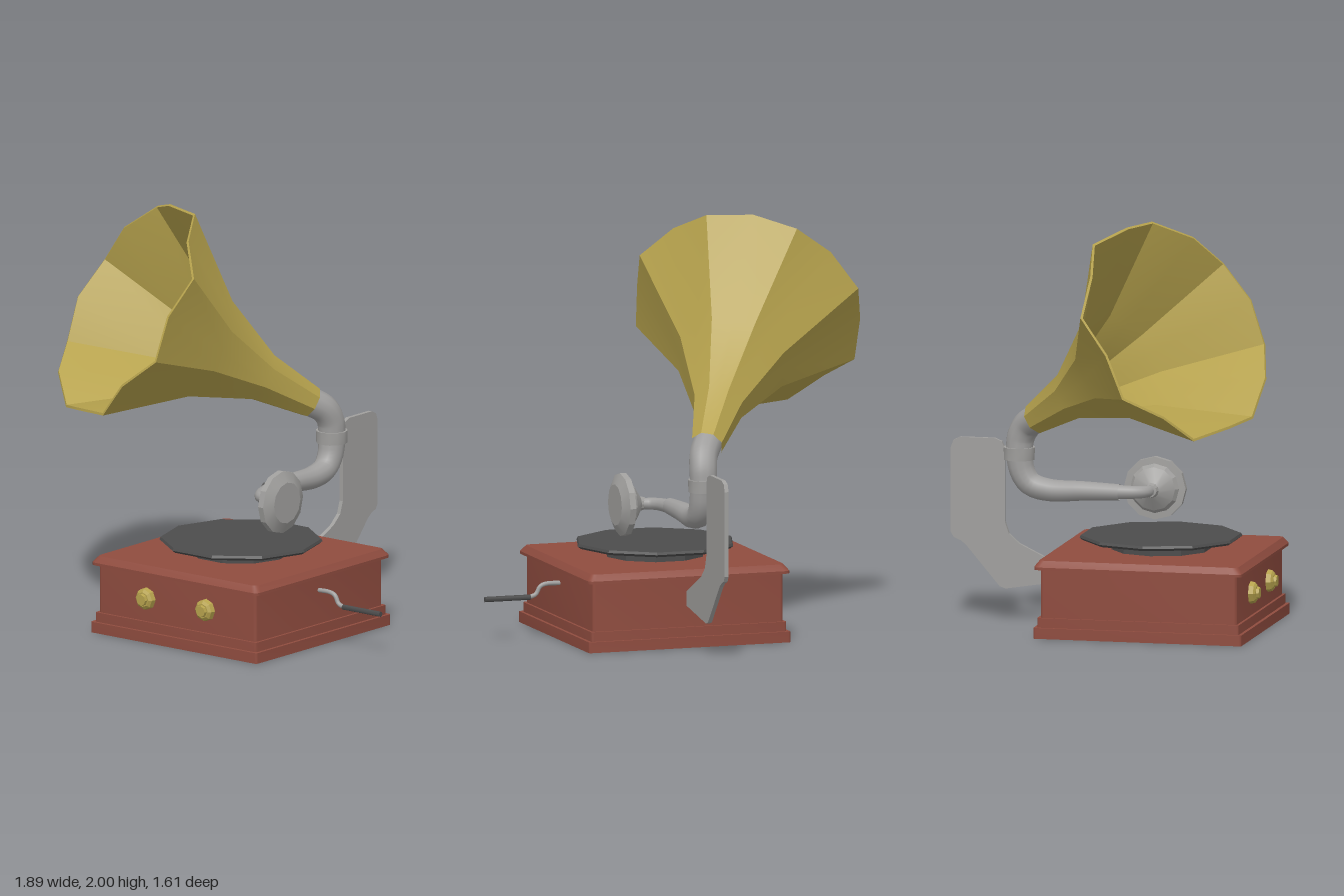
import * as THREE from 'three';
import { toCreasedNormals, mergeVertices } from 'three/addons/utils/BufferGeometryUtils.js';

const V = (x, y, z) => new THREE.Vector3(x, y, z);

function material(name, color, side = THREE.FrontSide) {
  const m = new THREE.MeshStandardMaterial({ color, side });
  m.name = name;
  return m;
}

// Rounded square slab standing on y0; the top can be drawn in by a scale
function slab(half, y0, y1, radius, topScale = 1) {
  const s = new THREE.Shape(), h = half, r = radius;
  s.moveTo(-h + r, -h);
  s.lineTo(h - r, -h); s.quadraticCurveTo(h, -h, h, -h + r);
  s.lineTo(h, h - r); s.quadraticCurveTo(h, h, h - r, h);
  s.lineTo(-h + r, h); s.quadraticCurveTo(-h, h, -h, h - r);
  s.lineTo(-h, -h + r); s.quadraticCurveTo(-h, -h, -h + r, -h);
  const g = new THREE.ExtrudeGeometry(s, { depth: y1 - y0, bevelEnabled: false, curveSegments: 3 });
  g.rotateX(-Math.PI / 2);
  const p = g.attributes.position;
  for (let i = 0; i < p.count; i++) {
    if (p.getY(i) > (y1 - y0) / 2) p.setXYZ(i, p.getX(i) * topScale, p.getY(i), p.getZ(i) * topScale);
  }
  g.translate(0, y0, 0);
  return toCreasedNormals(g, 0.6);
}

// Tube through points whose radius changes evenly from r0 to r1
function taperedTube(points, r0, r1, steps = 16, sides = 12) {
  const curve = new THREE.CatmullRomCurve3(points);
  const g = new THREE.TubeGeometry(curve, steps, 1, sides, false);
  const p = g.attributes.position, v = V(0, 0, 0);
  for (let i = 0; i <= steps; i++) {
    const c = curve.getPointAt(i / steps), r = r0 + (r1 - r0) * i / steps;
    for (let j = 0; j <= sides; j++) {
      const k = i * (sides + 1) + j;
      v.fromBufferAttribute(p, k).sub(c).multiplyScalar(r).add(c);
      p.setXYZ(k, v.x, v.y, v.z);
    }
  }
  return g;
}

// Eight-panelled horn shell with a scalloped mouth
function hornGeometry() {
  const neck = V(0.035, 0.99, -0.37), mouth = V(-0.443, 1.514, 0.41);
  const axis = mouth.clone().sub(neck).normalize();
  const e0 = V(0.055, 1.77, 0.54).sub(mouth);
  e0.addScaledVector(axis, -e0.dot(axis)).normalize();
  const e1 = axis.clone().cross(e0);
  const profile = [[0, 0.078], [0.296, 0.125], [0.638, 0.272], [1.055, 0.575]];
  const inner = profile.map(([s, r]) => [s + 0.004, r - 0.012]).reverse();
  const rings = [...profile, ...inner], n = 16, pos = [], idx = [];
  rings.forEach(([s, r], i) => {
    for (let j = 0; j < n; j++) {
      const a = j / n * Math.PI * 2, mid = j % 2 === 1;
      const rim = mid && s > 1;
      const rr = mid ? r * Math.cos(Math.PI / 8) * (rim ? 1.02 : 1) : r;
      const v = neck.clone().addScaledVector(axis, s + (rim ? 0.042 : 0))
        .addScaledVector(e0, rr * Math.cos(a)).addScaledVector(e1, rr * Math.sin(a));
      pos.push(v.x, v.y, v.z);
      if (i < rings.length - 1) {
        const k = (j + 1) % n, A = i * n + j, B = i * n + k;
        idx.push(A, B, B + n, A, B + n, A + n);
      }
    }
  });
  const g = new THREE.BufferGeometry();
  g.setAttribute('position', new THREE.Float32BufferAttribute(pos, 3));
  g.setIndex(idx);
  return toCreasedNormals(g, 0.42);
}

export function createModel() {
  const root = new THREE.Group();
  root.name = 'gramophone';
  const wood = material('red wood', 0x8f4c3f);
  const brass = material('brass', 0xb6a24d);
  const metal = material('grey metal', 0xa09f9d);
  const tube = material('grey tube metal', 0xa09f9e, THREE.DoubleSide);
  const dark = material('dark grey', 0x4c4c4c);

  function add(name, geometry, mat, x = 0, y = 0, z = 0, parent = root) {
    const m = new THREE.Mesh(geometry, mat);
    m.name = name;
    m.position.set(x, y, z);
    parent.add(m);
    return m;
  }

  // Wooden case
  const cx = 0.087, cz = 0.23;
  add('baseLower', slab(0.51, 0, 0.052, 0.012), wood, cx, 0, cz);
  add('baseUpper', slab(0.494, 0.052, 0.098, 0.012), wood, cx, 0, cz);
  add('caseBody', slab(0.481, 0.098, 0.335, 0.015), wood, cx, 0, cz);
  add('lidEdge', slab(0.51, 0.332, 0.345, 0.03), wood, cx, 0, cz);
  add('lidTop', slab(0.51, 0.345, 0.375, 0.03, 0.955), wood, cx, 0, cz);

  // Ten-sided turntable
  const disc = (rTop, rBottom, h) => toCreasedNormals(
    new THREE.CylinderGeometry(rTop, rBottom, h, 10).rotateY(Math.PI / 2), 0.3);
  add('turntableHub', disc(0.24, 0.24, 0.05), dark, 0.087, 0.398, 0.23);
  add('turntableLower', disc(0.39, 0.375, 0.012), dark, 0.087, 0.427, 0.228);
  add('turntableUpper', disc(0.384, 0.39, 0.012), dark, 0.087, 0.439, 0.228);

  // Front knobs
  for (const x of [-0.1, 0.265]) {
    const knob = new THREE.Group();
    knob.name = 'knob';
    knob.position.set(x, 0.21, 0.71);
    root.add(knob);
    [[0.05, 0.055, 0.024, 0.012], [0.036, 0.05, 0.01, 0.029], [0.027, 0.03, 0.014, 0.04]].forEach(([a, b, h, z]) =>
      add('knobTier', toCreasedNormals(new THREE.CylinderGeometry(a, b, h, 8).rotateX(Math.PI / 2), 0.3),
        brass, 0, 0, z, knob));
  }

  // Winding crank
  add('crankRod', taperedTube([V(0.55, 0.262, cz), V(0.64, 0.262, cz), V(0.668, 0.25, cz),
    V(0.688, 0.215, cz), V(0.72, 0.203, cz), V(0.76, 0.202, cz)], 0.011, 0.011, 18, 8), tube);
  add('crankHandle', toCreasedNormals(new THREE.CylinderGeometry(0.013, 0.013, 0.23, 8).rotateZ(Math.PI / 2), 0.9),
    dark, 0.832, 0.202, cz);

  // Flat support bracket at the back, drawn as distance behind and height
  const outline = [[0.25, 0.27], [0.25, 0.2], [0.53, 0.155], [0.56, 0.165], [0.725, 0.36], [0.75, 0.38],
    [0.785, 0.395], [0.8, 0.42], [0.8, 0.83], [0.787, 0.865], [0.755, 0.88], [0.585, 0.88],
    [0.55, 0.865], [0.535, 0.83], [0.535, 0.48], [0.515, 0.42], [0.465, 0.375]];
  const bracket = new THREE.ExtrudeGeometry(new THREE.Shape(outline.map(([a, b]) => new THREE.Vector2(a, b))),
    { depth: 0.02, bevelEnabled: false });
  add('supportBracket', bracket.rotateY(Math.PI / 2), metal, 0.075, 0, 0);

  // Tone arm with its collar and elbow
  add('armTip', taperedTube([V(0.2, 0.637, 0.155), V(0.14, 0.637, 0.14), V(0.11, 0.638, 0.1),
    V(0.085, 0.64, 0)], 0.026, 0.035), tube);
  add('toneArm', taperedTube([V(0.083, 0.64, 0.025), V(0.083, 0.64, -0.15), V(0.085, 0.638, -0.32),
    V(0.086, 0.664, -0.41), V(0.086, 0.72, -0.45), V(0.085, 0.8, -0.467)], 0.039, 0.066, 24), tube);
  add('collar', toCreasedNormals(new THREE.CylinderGeometry(0.077, 0.075, 0.06, 12), 0.7), metal, 0.083, 0.812, -0.466);
  add('elbow', taperedTube([V(0.084, 0.83, -0.466), V(0.083, 0.89, -0.458), V(0.07, 0.95, -0.425),
    V(0.025, 1.0, -0.355)], 0.066, 0.071), tube);

  // Sound box facing the side
  const boxProfile = [[0, 0.16], [0.03, 0.165], [0.036, 0.19], [0.105, 0.235], [0.12, 0.256], [0.152, 0.258],
    [0.152, 0.288], [0.1, 0.314], [0, 0.314]].map(([r, x]) => new THREE.Vector2(r, x));
  add('soundBox', toCreasedNormals(mergeVertices(new THREE.LatheGeometry(boxProfile, 12)).rotateZ(-Math.PI / 2), 0.3),
    metal, 0, 0.637, 0.157);

  // Horn
  add('horn', hornGeometry(), brass);
  return root;
}
